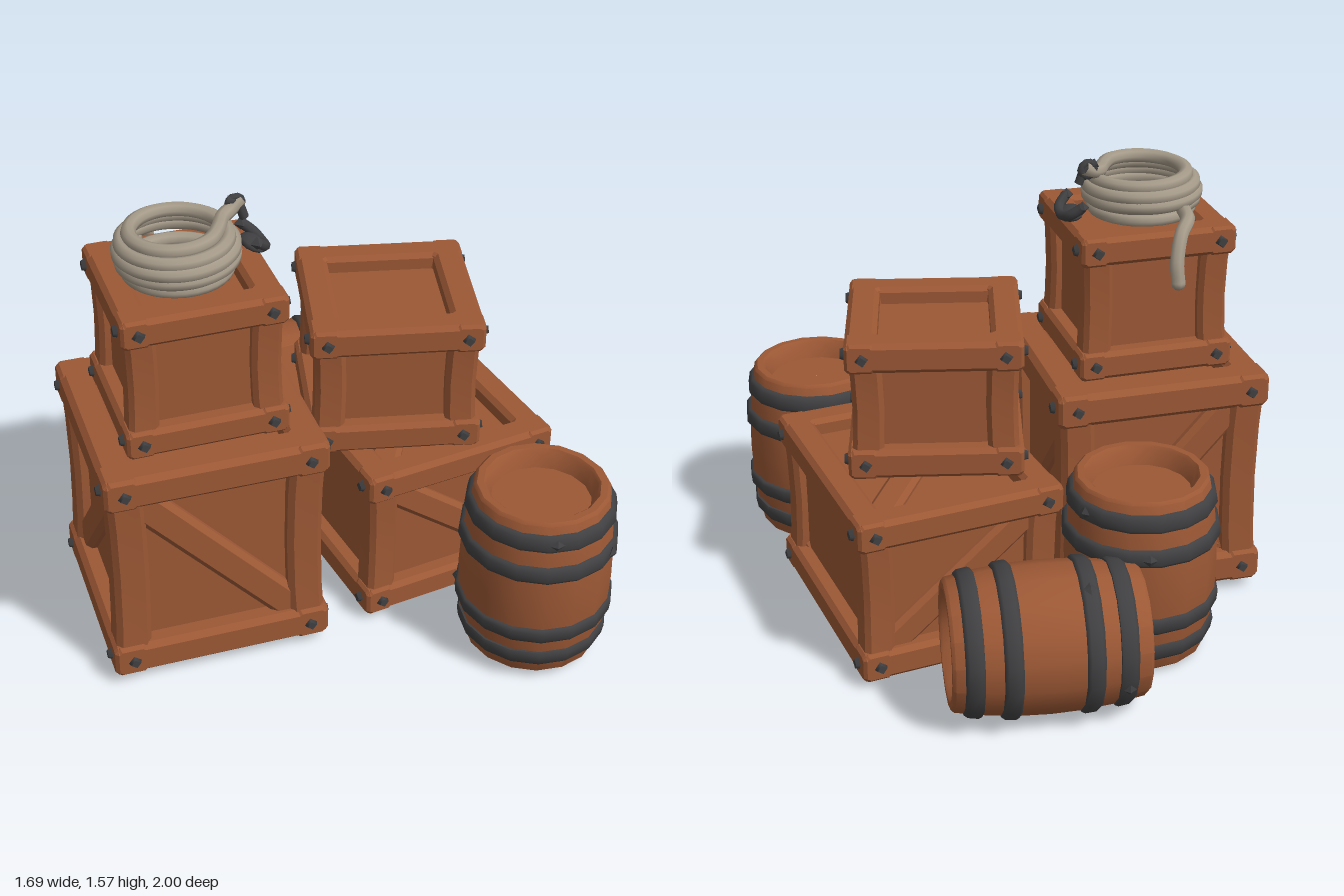
import * as THREE from 'three';
import { toCreasedNormals } from 'three/addons/utils/BufferGeometryUtils.js';

const wood = new THREE.MeshStandardMaterial({ color: 0x9c5835 });
wood.name = 'wood';
const iron = new THREE.MeshStandardMaterial({ color: 0x404042 });
iron.name = 'iron';
const hemp = new THREE.MeshStandardMaterial({ color: 0xa59a89 });
hemp.name = 'hemp';

function add(parent, name, geometry, material, x = 0, y = 0, z = 0) {
  const mesh = new THREE.Mesh(geometry, material);
  mesh.name = name;
  mesh.position.set(x, y, z);
  parent.add(mesh);
  return mesh;
}

// Chamfered square beam along z, centred on the origin
function beamGeometry(length, t) {
  const b = t * 0.1, o = t / 2 - b, i = o - b;
  const shape = new THREE.Shape(
    [[o, -i], [o, i], [i, o], [-i, o], [-o, i], [-o, -i], [-i, -o], [i, -o]].map(p => new THREE.Vector2(...p)));
  const g = new THREE.ExtrudeGeometry(shape, {
    depth: length - 2 * b, steps: 4, bevelThickness: b, bevelSize: b, bevelSegments: 1,
  });
  return g.translate(0, 0, -length / 2 + b);
}

// Frame beam: rails are straight, the middle of a post is worn towards the crate centre
function frameBeam(axis, size, t, s1, s2) {
  const length = size[axis];
  const g = beamGeometry(length, t);
  if (axis === 0) g.rotateY(Math.PI / 2);
  if (axis === 1) g.rotateX(-Math.PI / 2);
  const others = [0, 1, 2].filter(a => a !== axis);
  const p = g.attributes.position;
  for (let k = 0; k < p.count; k++) {
    const wear = axis === 1 ? 0.006 + 0.014 * (1 - (2 * p.getY(k) / length) ** 2) : 0;
    [s1, s2].forEach((s, n) => {
      const a = others[n];
      p.setComponent(k, a, p.getComponent(k, a) + s * (size[a] / 2 - t / 2 - wear));
    });
  }
  return toCreasedNormals(g, 0.5);
}

// Faces in order: front, left, back, right, top, bottom
const faceTurns = [[0, 0], [0, Math.PI / 2], [0, Math.PI], [0, -Math.PI / 2], [-Math.PI / 2, 0], [Math.PI / 2, 0]];

// braces: one number per face, 1 rising, -1 falling, 0 none
function crate(name, size, t, braces) {
  const [w, h, d] = size;
  const group = new THREE.Group();
  group.name = name;
  const recess = t * 0.55;
  add(group, 'panels', new THREE.BoxGeometry(w - 2 * recess, h - 2 * recess, d - 2 * recess), wood);
  for (let axis = 0; axis < 3; axis++)
    for (const s1 of [-1, 1])
      for (const s2 of [-1, 1])
        add(group, axis === 1 ? 'post' : 'rail', frameBeam(axis, size, t, s1, s2), wood);

  faceTurns.forEach(([rx, ry], f) => {
    const face = new THREE.Group();
    face.name = 'crateFace';
    face.rotation.set(rx, ry, 0);
    const u = f % 2 === 1 && f < 4 ? d : w, v = f < 4 ? h : d;
    const out = (f > 3 ? h : f % 2 ? w : d) / 2;
    if (braces[f]) {
      const a = u - 1.3 * t, b = v - 1.3 * t;
      const g = beamGeometry(Math.hypot(a, b), t).rotateY(Math.PI / 2);
      const brace = add(face, 'brace', toCreasedNormals(g, 0.5), wood, 0, 0, out - 0.03 - t / 2);
      brace.rotation.z = braces[f] * Math.atan2(b, a);
    }
    // Flat diamond rivets on the four upright faces
    if (f < 4)
      for (const sx of [-1, 1])
        for (const sy of [-1, 1]) {
          const g = new THREE.CylinderGeometry(0.017, 0.028, 0.03, 4).rotateX(Math.PI / 2);
          add(face, 'rivet', g.toNonIndexed(), iron, sx * (u / 2 - t * 0.55), sy * (v / 2 - t * 0.5), out)
            .rotation.z = 0.15;
        }
    group.add(face);
  });
  return group;
}

const bulge = y => 0.262 - 0.35 * y * y;

function barrel(name) {
  const group = new THREE.Group();
  group.name = name;
  // Staves with a rim and a recessed lid at both ends
  const half = [[0.001, -0.255], [0.168, -0.255], [0.185, -0.31], [0.195, -0.32], [0.218, -0.32],
    ...[-0.31, -0.2, -0.1].map(y => [bulge(y), y])];
  const profile = [...half, [bulge(0), 0], ...half.map(([r, y]) => [r, -y]).reverse()];
  const body = new THREE.LatheGeometry(profile.map(p => new THREE.Vector2(...p)), 16);
  add(group, 'staves', toCreasedNormals(body, 0.7), wood);
  [-0.24, -0.13, 0.13, 0.25].forEach((y, n) => {
    const p = [[-0.032, -0.01], [-0.029, 0.006], [-0.018, 0.013], [0.018, 0.013], [0.029, 0.006], [0.032, -0.01]]
      .map(([dy, dr]) => new THREE.Vector2(bulge(y + dy) + dr, y + dy));
    add(group, 'hoop', toCreasedNormals(new THREE.LatheGeometry(p, 16), 0.9), iron);
    // One rivet fastening each hoop
    const a = [2.6, -2.2, 0.65, -0.3][n], r = bulge(y) + 0.01;
    const g = new THREE.OctahedronGeometry(0.028).scale(0.9, 0.8, 0.5);
    add(group, 'hoopRivet', g, iron, r * Math.sin(a), y, r * Math.cos(a)).rotation.y = a;
  });
  return group;
}

function tube(points, radius, segments) {
  const curve = new THREE.CatmullRomCurve3(points.map(p => new THREE.Vector3(...p)));
  return new THREE.TubeGeometry(curve, segments, radius, 8);
}

// Coiled rope with a tail over the crate edge and a loose end at the hook
function rope() {
  const group = new THREE.Group();
  group.name = 'rope';
  const cx = -0.44, cz = 0.07, start = -2.1;
  const points = [[-0.425, 1.235, -0.285], [-0.425, 1.3, -0.27], [-0.455, 1.38, -0.23], [-0.5, 1.41, -0.18]];
  const n = 43;
  for (let k = 0; k <= n; k++) {
    const t = k / n, a = start - k * Math.PI / 6;
    const r = 0.178 + 0.015 * Math.sin(t * Math.PI) - 0.045 * t * t;
    points.push([cx + r * Math.cos(a), 1.418 + 0.108 * t, cz + r * Math.sin(a)]);
  }
  points.push([-0.285, 1.53, 0.075], [-0.25, 1.537, 0.05], [-0.21, 1.56, 0.035]);
  add(group, 'ropeCoil', tube(points, 0.025, 380), hemp);
  add(group, 'ropeTailEnd', new THREE.SphereGeometry(0.025, 8, 6), hemp, ...points[0]);
  // Lowest loop resting on the lid
  add(group, 'ropeBase', new THREE.TorusGeometry(0.165, 0.024, 8, 32).rotateX(Math.PI / 2), hemp, cx, 1.392, cz);
  return group;
}

// Iron eye on the rope end and the curved hook lying below it
function hook() {
  const group = new THREE.Group();
  group.name = 'hook';
  add(group, 'hookEye', new THREE.TorusGeometry(0.024, 0.014, 6, 10), iron, -0.228, 1.55, 0.04);
  add(group, 'hookShank', tube([[-0.26, 1.57, 0.04], [-0.22, 1.55, 0.045], [-0.2, 1.5, 0.05]], 0.016, 8), iron);
  add(group, 'hookCurve',
    tube([[-0.185, 1.44, -0.025], [-0.15, 1.41, 0.0], [-0.14, 1.397, 0.05], [-0.15, 1.41, 0.1], [-0.185, 1.44, 0.125]],
      0.018, 16), iron);
  const plate = new THREE.SphereGeometry(1, 12, 6).scale(0.045, 0.02, 0.065);
  add(group, 'hookPlate', plate, iron, -0.17, 1.4, 0.05).rotation.z = -0.25;
  for (const s of [-1, 1])
    add(group, 'hookTip', new THREE.OctahedronGeometry(0.025), iron, -0.185, 1.438, 0.05 + s * 0.072);
  return group;
}

export function createModel() {
  const model = new THREE.Group();
  model.name = 'cargoPile';
  const place = (part, x, y, z, turn = 0) => {
    part.position.set(x, y, z);
    part.rotation.y = turn;
    model.add(part);
  };
  place(crate('largeCrate', [0.755, 0.815, 0.755], 0.12, [-1, 1, 1, 1, 0, 1]), -0.425, 0.457, 0.08, -0.09);
  place(crate('smallCrate', [0.545, 0.515, 0.53], 0.1, [0, 0, 0, 0, 0, 0]), -0.425, 1.118, 0.082, -0.08);
  place(crate('longCrate', [0.72, 0.595, 0.89], 0.105, [-1, 0, 1, 0, 1, -1]), 0.415, 0.337, -0.005, 0.055);
  place(crate('tiltedCrate', [0.585, 0.49, 0.585], 0.105, [0, 0, 0, 0, 0, 0]), 0.322, 0.876, 0.045, -0.31);

  place(barrel('frontBarrel'), 0.577, 0.358, 0.73);
  place(barrel('backBarrel'), -0.225, 0.345, -0.48, 2.2);
  const lying = barrel('lyingBarrel');
  place(lying, 0.215, 0.264, -0.722);
  lying.quaternion.setFromUnitVectors(new THREE.Vector3(0, 1, 0), new THREE.Vector3(0.98, 0, 0.2).normalize());
  lying.scale.set(0.95, 1, 0.95);

  model.add(rope(), hook());
  return model;
}
